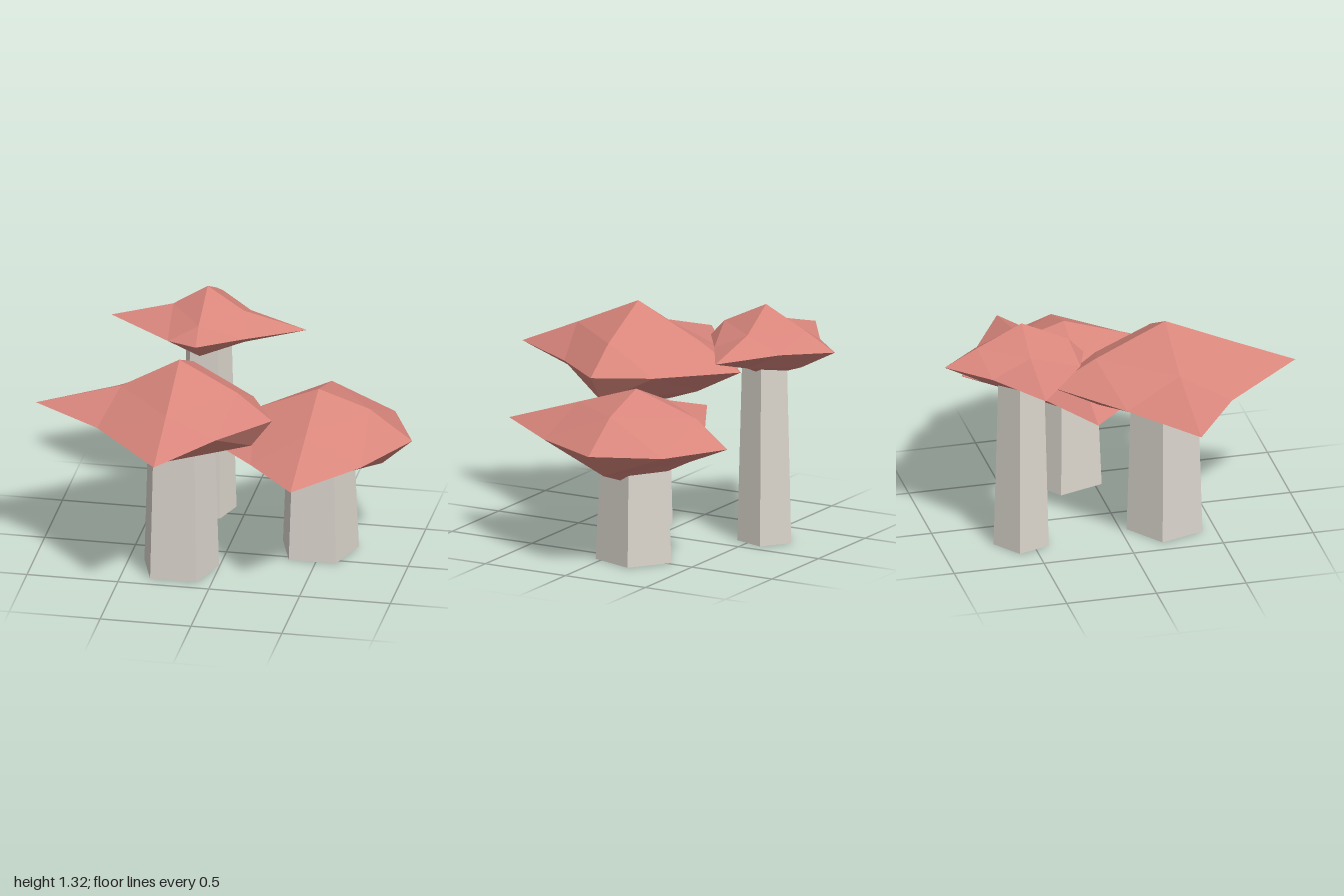
import * as THREE from 'three';

const capMaterial = new THREE.MeshStandardMaterial({ color: 0xd9867c, flatShading: true });
const stemMaterial = new THREE.MeshStandardMaterial({ color: 0xdad5cc, flatShading: true, side: THREE.DoubleSide });

// Ring order everywhere: +x, +z, -x, -z. Offsets are measured from the stem axis.
// tips: reach of the four rim points; diagonals: [x, z] of the rim points between them
// upper / lower: [reach, height] of the points between rim and apex / underside
const mushrooms = [
  {
    name: 'frontMushroom', x: -0.21, z: 0.25, rim: 0.91, apex: 1.23, base: 0.64,
    stem: [0.216, 0.188],
    tips: [0.51, 0.725, 0.79, 0.64],
    diagonals: [[0.26, 0.31], [-0.4, 0.27], [-0.39, -0.31], [0.35, -0.3]],
    upper: [[0.32, 1.06], [0.38, 1.06], [0.32, 1.05], [0.39, 1.05]],
    lower: [[0.395, 0.755], [0.36, 0.785], [0.32, 0.76], [0.37, 0.77]],
  },
  {
    name: 'sideMushroom', x: 0.48, z: -0.14, rim: 0.68, apex: 0.945, base: 0.41,
    stem: [0.22, 0.19],
    tips: [0.515, 0.795, 0.76, 0.57],
    diagonals: [[0.31, 0.4], [-0.28, 0.48], [-0.29, -0.26], [0.35, -0.37]],
    upper: [[0.28, 0.85], [0.36, 0.825], [0.35, 0.8], [0.38, 0.825]],
    lower: [[0.35, 0.535], [0.41, 0.59], [0.385, 0.57], [0.325, 0.575]],
  },
  {
    name: 'backMushroom', x: -0.21, z: -0.55, rim: 1.1, apex: 1.315, base: 0.915,
    stem: [0.157, 0.128],
    tips: [0.545, 0.345, 0.53, 0.43],
    diagonals: [[0.23, 0.19], [-0.165, 0.285], [-0.21, -0.215], [0.2, -0.2]],
    upper: [[0.2, 1.185], [0.26, 1.19], [0.19, 1.195], [0.25, 1.195]],
    lower: [[0.2, 1.0], [0.23, 1.0], [0.2, 0.99], [0.22, 0.99]],
  },
];

const AXES = [[1, 0], [0, 1], [-1, 0], [0, -1]];

// Faceted cap: an irregular octahedron, each face split into four
function capGeometry(m) {
  const positions = [];
  const onAxis = (i, reach, y) => [AXES[i][0] * reach, y, AXES[i][1] * reach];
  for (const top of [true, false]) {
    const pole = [0, top ? m.apex : m.base, 0];
    const mids = top ? m.upper : m.lower;
    const triangle = (a, b, c) => positions.push(...a, ...(top ? c : b), ...(top ? b : c));
    for (let i = 0; i < 4; i++) {
      const j = (i + 1) % 4;
      const tipA = onAxis(i, m.tips[i], m.rim);
      const tipB = onAxis(j, m.tips[j], m.rim);
      const midA = onAxis(i, ...mids[i]);
      const midB = onAxis(j, ...mids[j]);
      const between = [m.diagonals[i][0], m.rim, m.diagonals[i][1]];
      triangle(pole, midA, midB);
      triangle(midA, tipA, between);
      triangle(midB, between, tipB);
      triangle(midA, between, midB);
    }
  }
  const geometry = new THREE.BufferGeometry();
  geometry.setAttribute('position', new THREE.Float32BufferAttribute(positions, 3));
  geometry.computeVertexNormals();
  return geometry;
}

// Five-sided tapering stem, open at both ends, reaching up into the cap
function stemGeometry(m) {
  const [bottom, top] = m.stem;
  return new THREE.CylinderGeometry(top, bottom, m.rim, 5, 1, true)
    .rotateY(Math.PI)
    .translate(0, m.rim / 2, 0);
}

export function createModel() {
  const model = new THREE.Group();
  model.name = 'mushroomCluster';
  for (const m of mushrooms) {
    const mushroom = new THREE.Group();
    mushroom.name = m.name;
    mushroom.position.set(m.x, 0, m.z);
    const cap = new THREE.Mesh(capGeometry(m), capMaterial);
    cap.name = 'cap';
    const stem = new THREE.Mesh(stemGeometry(m), stemMaterial);
    stem.name = 'stem';
    mushroom.add(cap, stem);
    model.add(mushroom);
  }
  return model;
}
